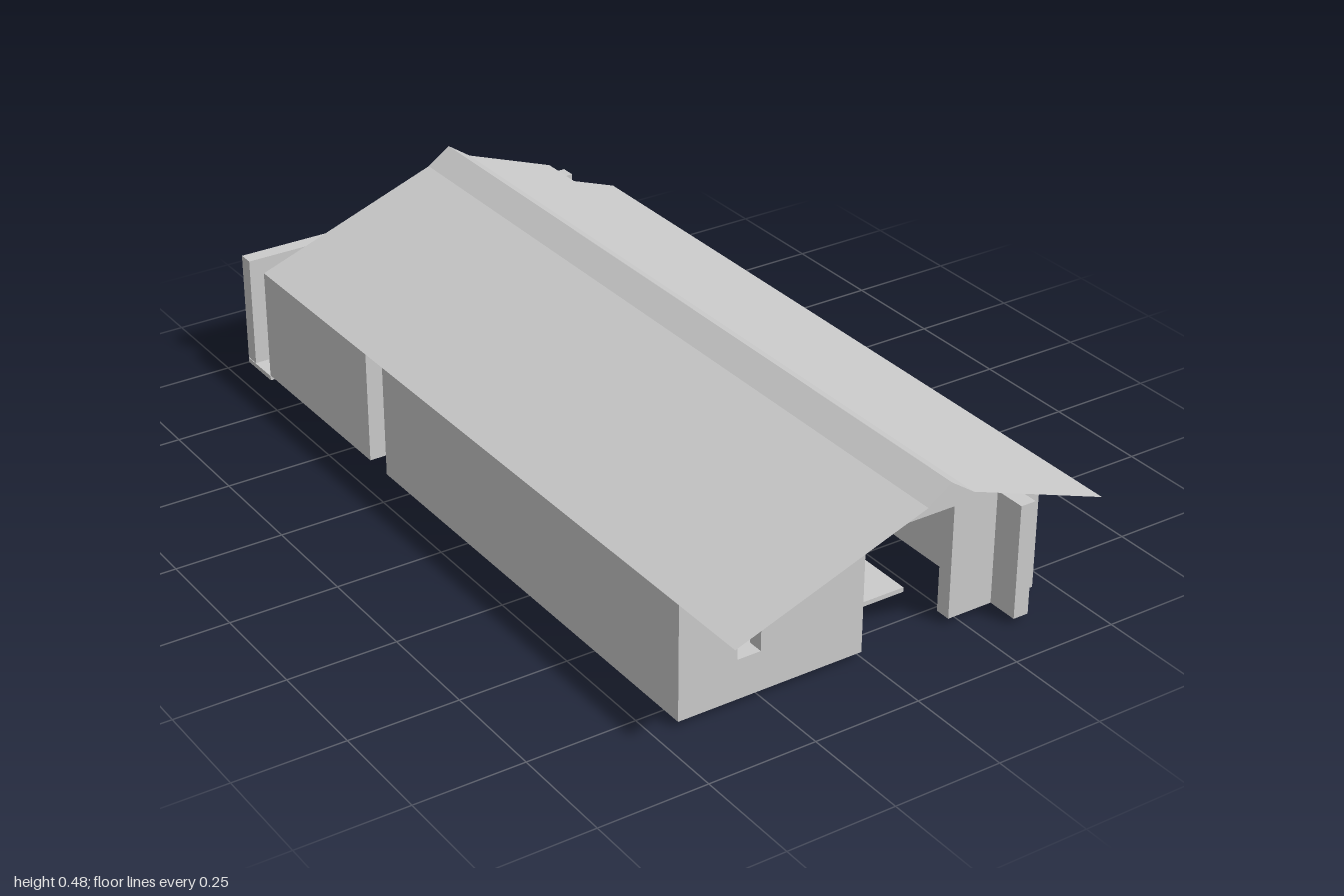
import * as THREE from 'three';

const U = 2 / 18;        // plan module
const T = U / 3;         // wall thickness
const BASE = 0.013;      // underside of walls
const TOP = 0.28;        // eaves height of walls

export function createModel() {
  const model = new THREE.Group();
  const wallMat = new THREE.MeshStandardMaterial({ color: 0xcccccc, flatShading: true });
  const roofMat = new THREE.MeshStandardMaterial({ color: 0xcccccc, flatShading: true, side: THREE.DoubleSide });

  const add = (name, geometry, material = wallMat) => {
    const mesh = new THREE.Mesh(geometry, material);
    mesh.name = name;
    model.add(mesh);
    return mesh;
  };

  const rect = (a, b) => [[a, BASE], [b, BASE], [b, TOP], [a, TOP]];

  // Upright panel with window holes centred at the given positions
  const panel = (outline, windows = []) => {
    const shape = new THREE.Shape(outline.map(([a, b]) => new THREE.Vector2(a, b)));
    for (const c of windows) {
      const w = U / 4;
      shape.holes.push(new THREE.Path([[c - w, 0.106], [c - w, 0.215], [c + w, 0.215], [c + w, 0.106]]
        .map(([a, b]) => new THREE.Vector2(a, b))));
    }
    return new THREE.ExtrudeGeometry(shape, { depth: T, bevelEnabled: false });
  };
  // Wall running along x, starting at depth z
  const crossWall = (name, outline, z, windows) =>
    add(name, panel(outline, windows).translate(0, 0, z));
  // Wall running along z, its low-x face at x
  const sideWall = (name, z0, z1, x, windows) =>
    add(name, panel(rect(z0, z1), windows).rotateY(-Math.PI / 2).translate(x + T, 0, 0));

  // Front wall: stepped gable with a wide doorway
  const step = (TOP + 0.04);
  crossWall('frontGableWall', [
    [-4 * U, BASE], [0, BASE], [0, TOP], [2 * U, TOP], [2 * U, BASE], [4 * U, BASE],
    [4 * U, TOP], [3 * U, TOP], [3 * U, step], [2 * U, step], [2 * U, step + 0.04],
    [U, step + 0.04], [U, step + 0.08], [-U, step + 0.08], [-U, step + 0.04],
    [-2 * U, step + 0.04], [-2 * U, step], [-3 * U, step], [-3 * U, TOP], [-4 * U, TOP],
  ], 7 * U, [-2.5 * U]);

  // Partition with a doorway between its two halves
  crossWall('partitionLeft', rect(U, 4 * U), -4 * U);
  crossWall('partitionRight', rect(-4 * U, 0), -4 * U);

  // Detached rear wall
  crossWall('rearWall', rect(-4 * U, 4 * U), -9 * U, [-1.5 * U, 1.5 * U]);

  // Long side walls
  sideWall('leftWall', -8 * U, 8 * U, 3 * U, [4.5 * U, -0.5 * U]);
  sideWall('rightFrontWall', -3 * U, 7 * U + T, -4 * U);
  sideWall('rightRearWall', -8 * U, -4 * U + T, -4 * U);

  // Floor slabs: x0, x1, z0, z1 in modules
  const slabs = [
    ['mainFloor', -3, 2, -2, 6],
    ['rearFloorInner', -1, 0, -8, -6],
    ['rearFloorOuter', -3, -2, -8, -6],
    ['cornerFloor', -4, -3, -9, -8],
  ];
  for (const [name, x0, x1, z0, z1] of slabs) {
    add(name, new THREE.BoxGeometry((x1 - x0) * U, 0.011, (z1 - z0) * U)
      .translate((x0 + x1) / 2 * U, 0.0055, (z0 + z1) / 2 * U));
  }

  // Thin roof strips: each spans two profile points and runs from the back to the front
  const front = 9 * U, back = -8 * U;
  const surface = (corners) => {
    const g = new THREE.BufferGeometry();
    g.setAttribute('position', new THREE.Float32BufferAttribute(corners.flat(), 3));
    g.setIndex(corners.length === 4 ? [0, 1, 2, 0, 2, 3] : [0, 1, 2]);
    g.computeVertexNormals();
    return g;
  };
  const strip = (name, [xa, ya], [xb, yb], zBack) =>
    add(name, surface([[xa, ya, front], [xb, yb, front], [xb, yb, zBack], [xa, ya, zBack]]), roofMat);

  const ridge = [U / 2, 0.478], capR = [0, 0.44], capL = [U, 0.44];
  strip('rightRoof', [-4 * U, 0.28], capR, back);
  strip('ridgeRight', capR, ridge, back);
  strip('ridgeLeft', ridge, capL, back);
  strip('leftRoof', capL, [3 * U, 0.36], back);
  strip('leftEaves', [3 * U, 0.36], [4 * U, 0.32], -7 * U);

  // Small triangles closing the ridge ends
  add('ridgeFrontEnd', surface([[...capR, front], [...capL, front], [...ridge, front]]), roofMat);
  add('ridgeBackEnd', surface([[...capL, back], [...capR, back], [...ridge, back]]), roofMat);

  return model;
}
